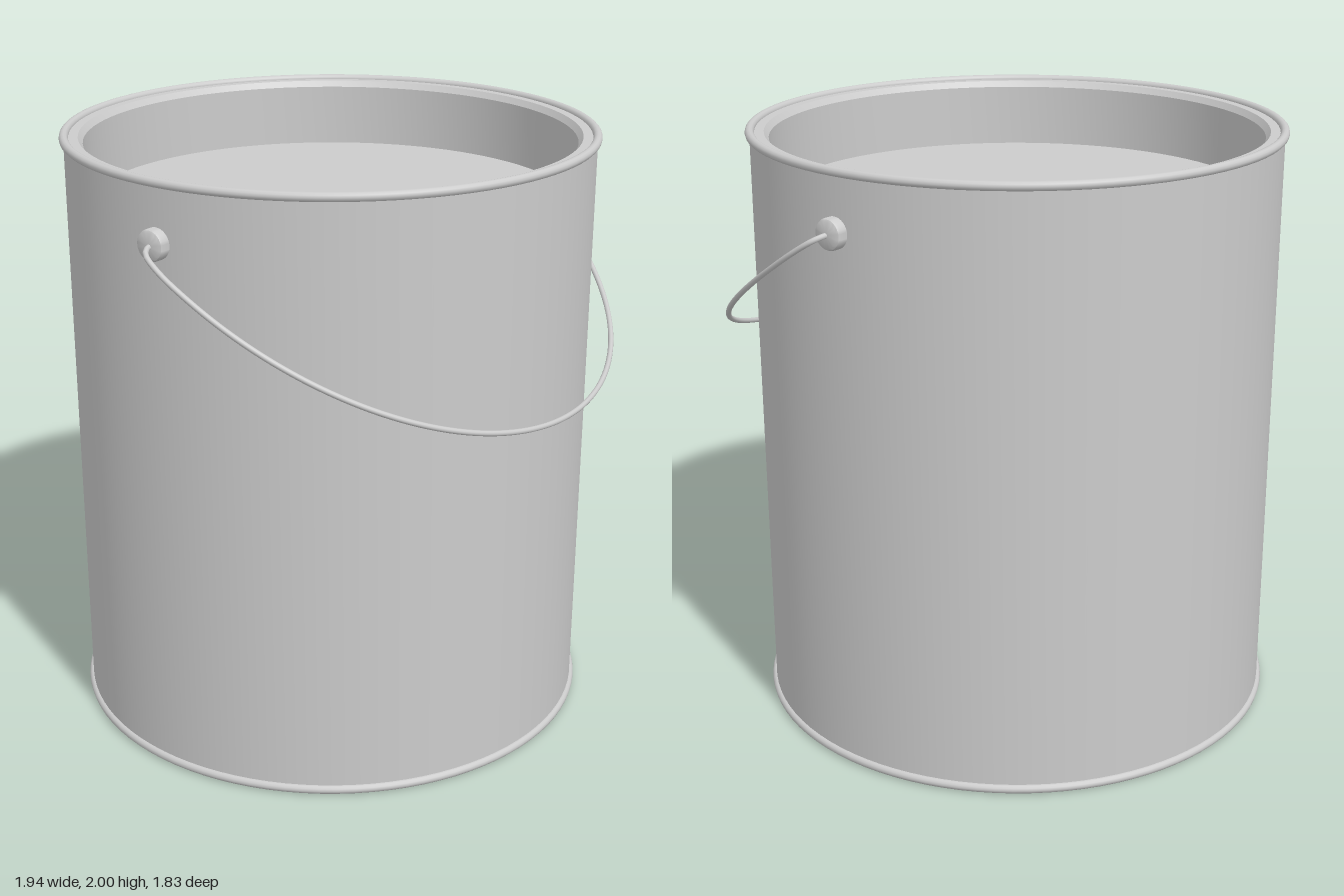
import * as THREE from 'three';
import { toCreasedNormals } from 'three/addons/utils/BufferGeometryUtils.js';

const CAN_Z = -0.03;   // axis of the can, offset so the swung handle is balanced
const PIVOT_Y = 1.8;

export function createModel() {
  const model = new THREE.Group();
  model.name = 'pail';
  const material = new THREE.MeshStandardMaterial({ color: 0xcccccc });

  const add = (name, geometry, parent = model) => {
    const mesh = new THREE.Mesh(geometry, material);
    mesh.name = name;
    parent.add(mesh);
    return mesh;
  };
  // Revolve [radius, height] pairs, keeping hard edges sharp
  const lathe = (pairs, segments) => toCreasedNormals(
    new THREE.LatheGeometry(pairs.map(([r, y]) => new THREE.Vector2(r, y)), segments), 0.6);

  const can = new THREE.Group();
  can.name = 'can';
  can.position.z = CAN_Z;
  model.add(can);

  // Outer wall and flat base
  add('wall', lathe([[0.872, 0.015], [0.872, 1.985]], 96), can);
  add('base', lathe([[0, 0.008], [0.872, 0.008]], 96), can);

  // Rolled beads at the bottom and top edges
  for (const [name, y] of [['bottomBead', 0.015], ['topBead', 1.985]]) {
    const bead = add(name, new THREE.TorusGeometry(0.871, 0.015, 12, 96), can);
    bead.rotation.x = Math.PI / 2;
    bead.position.y = y;
  }

  // Inner lip, then the inside wall
  add('innerLip', lathe([
    [0.81, 1.75], [0.81, 1.965], [0.825, 1.985], [0.865, 1.985],
  ].reverse(), 96), can);

  // Level surface of the contents
  add('contents', lathe([[0.815, 1.755], [0, 1.755]], 96), can);

  // Domed ears that hold the handle
  for (const side of [1, -1]) {
    const ear = add(side > 0 ? 'leftEar' : 'rightEar', lathe([
      [0.05, 0], [0.05, 0.035], [0.047, 0.042], [0.04, 0.046], [0, 0.048],
    ], 32));
    ear.position.set(side * 0.862, PIVOT_Y, CAN_Z);
    ear.rotation.z = -side * Math.PI / 2;
  }

  // Wire handle: half ellipse in a tilted plane, bent inward at both ears
  const onPlane = (x, t) => new THREE.Vector3(x, PIVOT_Y - 0.605 * t, CAN_Z + 0.937 * t);
  const points = [onPlane(0.88, 0), onPlane(0.915, 0.004), onPlane(0.945, 0.024)];
  const steps = 24;
  for (let i = 0; i <= steps; i++) {
    const a = (i / steps) * Math.PI;
    points.push(onPlane(0.96 * Math.cos(a), 0.09 + 0.91 * Math.sin(a)));
  }
  points.push(onPlane(-0.945, 0.024), onPlane(-0.915, 0.004), onPlane(-0.88, 0));
  add('handle', new THREE.TubeGeometry(new THREE.CatmullRomCurve3(points), 160, 0.009, 10));

  return model;
}
